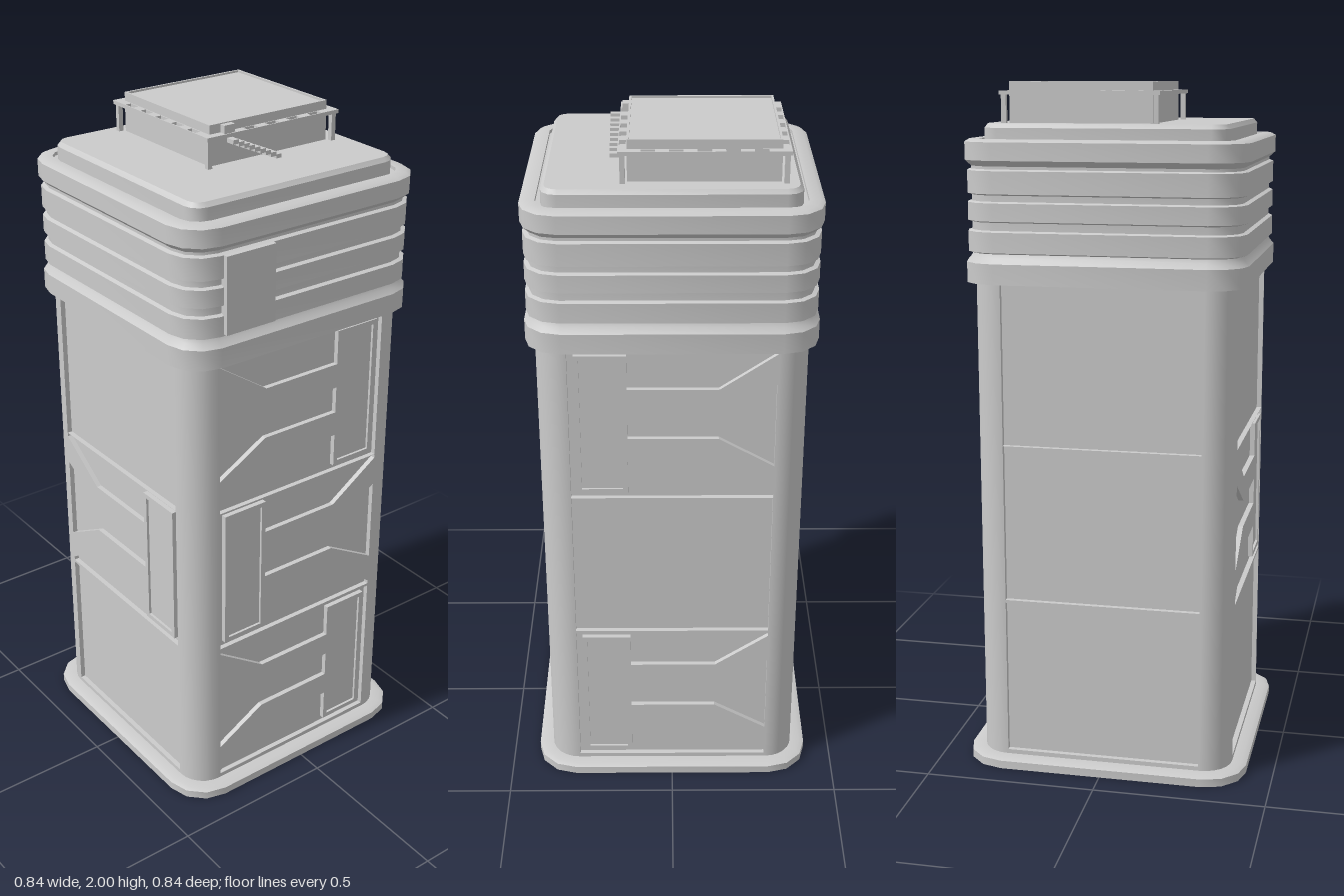
import * as THREE from 'three';
import { toCreasedNormals } from 'three/addons/utils/BufferGeometryUtils.js';

const mat = new THREE.MeshStandardMaterial({ color: 0xcccccc, side: THREE.DoubleSide });
const FACE = 0.377;    // distance of each wall from the axis
const DEPTH = 0.015;   // recess of the wall panels
const CORNER = 0.292;  // centre of the corner columns

function add(parent, name, geometry, x = 0, y = 0, z = 0) {
  const mesh = new THREE.Mesh(geometry, mat);
  mesh.name = name;
  mesh.position.set(x, y, z);
  parent.add(mesh);
  return mesh;
}

function box(parent, name, x0, x1, y0, y1, z0, z1) {
  return add(parent, name, new THREE.BoxGeometry(x1 - x0, y1 - y0, z1 - z0),
    (x0 + x1) / 2, (y0 + y1) / 2, (z0 + z1) / 2);
}

const polygon = (pts) => new THREE.Shape(pts.map(([x, y]) => new THREE.Vector2(x, y)));
const rect = (x0, x1, y0, y1) => polygon([[x0, y0], [x1, y0], [x1, y1], [x0, y1]]);
const extrude = (shape, depth) => new THREE.ExtrudeGeometry(shape, { depth, bevelEnabled: false });

// Rounded-square rings joined along a profile of [half width, height]
function roundedLoft(profile) {
  const ring = ([h, y]) => {
    const c = Math.min(h, 0.3), r = Math.max(h - 0.3, 0), pts = [];
    for (let q = 0; q < 4; q++) {
      const cx = (q === 0 || q === 3) ? c : -c, cz = q < 2 ? c : -c;
      for (let i = 0; i <= 3; i++) {
        const a = (q + i / 3) * Math.PI / 2;
        pts.push([cx + r * Math.cos(a), y, cz + r * Math.sin(a)]);
      }
    }
    return pts;
  };
  const rings = profile.map(ring), pos = [];
  for (let k = 0; k < rings.length - 1; k++) {
    const lo = rings[k], hi = rings[k + 1];
    for (let i = 0; i < lo.length; i++) {
      const j = (i + 1) % lo.length;
      pos.push(...lo[i], ...hi[i], ...hi[j], ...lo[i], ...hi[j], ...lo[j]);
    }
  }
  const geo = new THREE.BufferGeometry();
  geo.setAttribute('position', new THREE.Float32BufferAttribute(pos, 3));
  return toCreasedNormals(geo, 0.6);
}

// Raised relief: a framed block with two arms fanning out to the far post
function addRelief(side, cy, s) {
  const z = FACE - DEPTH;
  for (const m of [1, -1]) {
    const arm = polygon([[0.125, 0.04], [-0.13, 0.04], [-0.29, 0.13], [-0.29, 0.222],
      [-0.13, 0.114], [0.125, 0.114]].map(([x, y]) => [x * s, y * m]));
    add(side, 'panelArm', extrude(arm, DEPTH), 0, cy, z);
  }
  const x = [0.125, 0.27].map((v) => v * s).sort((a, b) => a - b);
  const frame = rect(x[0], x[1], -0.216, 0.216);
  frame.holes.push(rect(x[0] + 0.014, x[1] - 0.014, -0.202, 0.202));
  add(side, 'blockFrame', extrude(frame, DEPTH), 0, cy, z);
  box(side, 'blockInset', x[0] + 0.013, x[1] - 0.013, cy - 0.203, cy + 0.203, z, z + DEPTH * 0.5);
}

export function createModel() {
  const tower = new THREE.Group();
  tower.name = 'tower';

  // Base flange, open through the middle
  add(tower, 'baseFlange', roundedLoft([[0.365, 0.03], [0.365, 0], [0.42, 0], [0.42, 0.024],
    [0.405, 0.03], [0.37, 0.03]]));

  // Four walls; each entry of reliefs is the side the block sits on (0 = plain), bottom to top
  const centres = [0.275, 0.7475, 1.2125];
  const walls = [
    { name: 'frontWall', turn: 0, reliefs: [1, -1, 1] },
    { name: 'plusXWall', turn: Math.PI / 2, reliefs: [-1, 0, -1] },
    { name: 'backWall', turn: Math.PI, reliefs: [0, 0, 0] },
    { name: 'minusXWall', turn: -Math.PI / 2, reliefs: [0, 1, 0] },
  ];
  for (const { name, turn, reliefs } of walls) {
    const side = new THREE.Group();
    side.name = name;
    side.rotation.y = turn;
    tower.add(side);
    const frame = rect(-CORNER, CORNER, 0.02, 1.46);
    centres.forEach((cy) => frame.holes.push(rect(-0.288, 0.288, cy - 0.232, cy + 0.232)));
    add(side, 'wallFrame', extrude(frame, DEPTH), 0, 0, FACE - DEPTH);
    add(side, 'wallPanel', new THREE.PlaneGeometry(2 * CORNER, 1.44), 0, 0.74, FACE - DEPTH);
    reliefs.forEach((s, i) => { if (s) addRelief(side, centres[i], s); });
    // Rounded corner column
    add(side, 'cornerColumn', new THREE.CylinderGeometry(FACE - CORNER, FACE - CORNER, 1.44, 6, 1,
      true, 0, Math.PI / 2), CORNER, 0.74, CORNER);
  }

  // Head: lower band, three ribs, upper band with a rim, and the raised roof
  const ribs = [[1.535, 1.592], [1.622, 1.672], [1.697, 1.76]].flatMap(([a, b]) =>
    [[0.385, a - 0.004], [0.397, a], [0.397, b], [0.385, b + 0.004]]);
  add(tower, 'head', roundedLoft([[0.365, 1.447], [0.403, 1.447], [0.403, 1.505], [0.39, 1.52],
    ...ribs, [0.385, 1.772], [0.403, 1.788], [0.403, 1.838], [0.39, 1.845], [0.36, 1.845],
    [0.36, 1.835], [0.345, 1.835], [0.345, 1.875], [0.335, 1.887], [0, 1.887]]));

  // Blank plate on the front of the head
  box(tower, 'frontPlate', -0.29, -0.13, 1.54, 1.76, 0.38, 0.41);

  // Rooftop cabin with a shallow rim
  const roof = new THREE.Group();
  roof.name = 'rooftopCabin';
  roof.position.set(0.073, 0, -0.085);
  tower.add(roof);
  box(roof, 'cabin', -0.203, 0.203, 1.88, 1.994, -0.203, 0.203);
  const rim = rect(-0.203, 0.203, -0.203, 0.203);
  rim.holes.push(rect(-0.197, 0.197, -0.197, 0.197));
  add(roof, 'cabinRim', extrude(rim, 0.007).rotateX(-Math.PI / 2), 0, 1.993, 0);

  // Walkway with slots around the cabin, standing on corner legs
  const deck = rect(-0.227, 0.227, -0.227, 0.227);
  deck.holes.push(rect(-0.2, 0.2, -0.2, 0.2));
  for (let i = -2; i <= 2; i++) {
    const a = i * 0.074 - 0.019, b = a + 0.038;
    for (const m of [-1, 1]) {
      const p = m < 0 ? -0.224 : 0.206, q = p + 0.018;
      deck.holes.push(rect(a, b, p, q), rect(p, q, a, b));
    }
  }
  add(roof, 'walkway', extrude(deck, 0.011).rotateX(-Math.PI / 2), 0, 1.964, 0);
  for (const sx of [-1, 1]) {
    for (const sz of [-1, 1]) {
      add(roof, 'walkwayLeg', new THREE.BoxGeometry(0.014, 0.085, 0.014), sx * 0.215, 1.924, sz * 0.215);
    }
  }

  // Small hatch and the stair down to the roof
  box(tower, 'hatch', -0.094, -0.058, 1.975, 1.997, 0.11, 0.136);
  const STEPS = 9, run = 0.166 / STEPS, rise = 0.075 / STEPS;
  for (let i = 0; i < STEPS; i++) {
    const x = -0.09 + i * run, y = 1.965 - i * rise;
    box(tower, 'stairStep', x, x + run, y - 0.012, y, 0.142, 0.17);
  }
  return tower;
}
